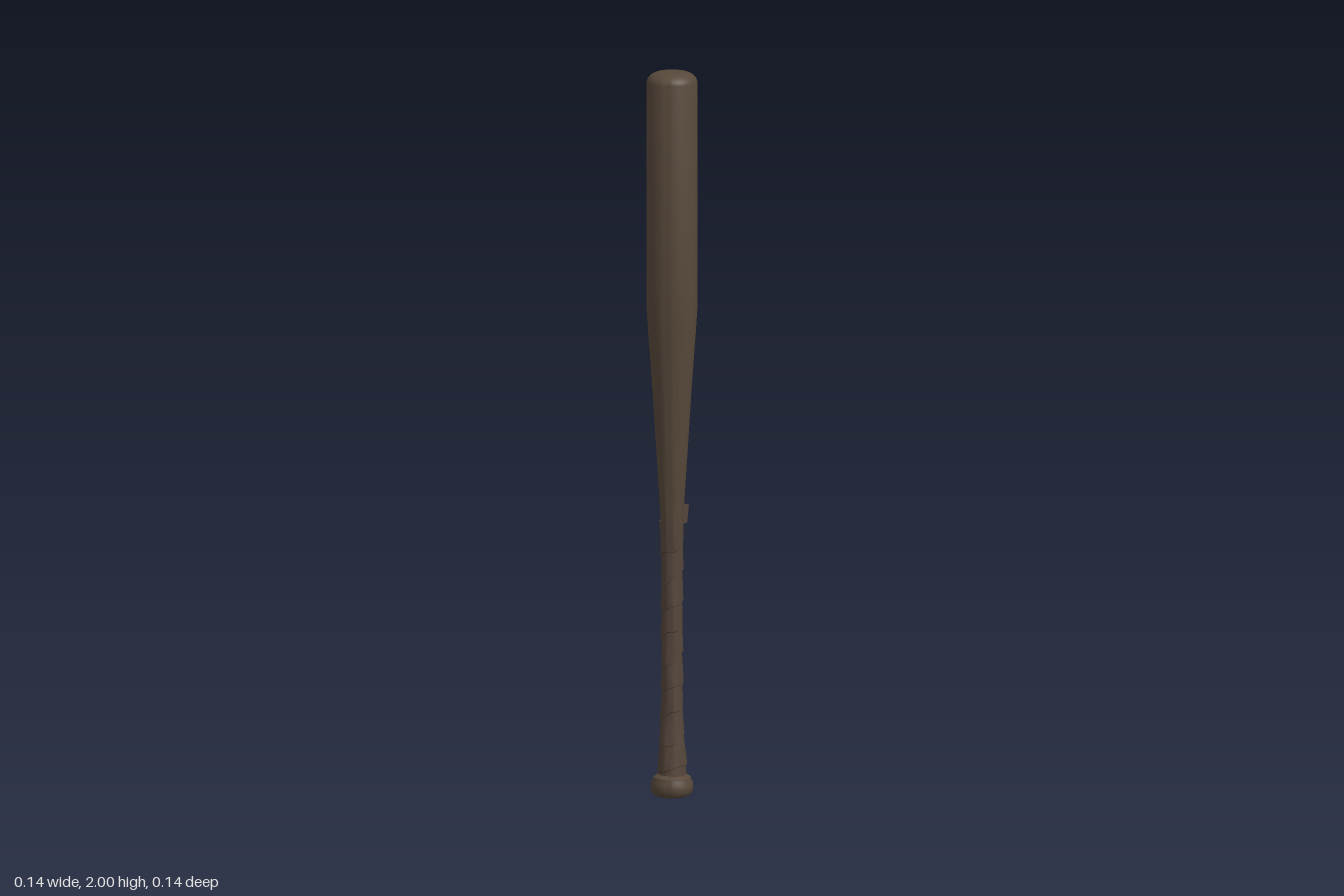
import * as THREE from 'three';
import { toCreasedNormals } from 'three/addons/utils/BufferGeometryUtils.js';

// Half profile of handle, taper, barrel and domed tip: [radius, height]
const BAT = [
  [0.036, 0.04], [0.036, 0.08], [0.033, 0.13], [0.028, 0.2], [0.026, 0.3], [0.026, 0.6],
  [0.027, 0.7], [0.034, 0.82], [0.043, 0.96], [0.053, 1.12], [0.064, 1.27], [0.0685, 1.34],
  [0.069, 1.4], [0.069, 1.972], [0.066, 1.982], [0.058, 1.991], [0.045, 1.997], [0.025, 1.9995], [0, 2],
];
const KNOB = [
  [0, 0.008], [0.03, 0.008], [0.036, 0.003], [0.042, 0], [0.05, 0.004], [0.056, 0.013],
  [0.0575, 0.024], [0.0565, 0.038], [0.052, 0.046], [0.051, 0.052], [0.044, 0.057], [0.036, 0.06],
];

function radiusAt(y) {
  for (let i = 1; i < BAT.length; i++) {
    const [r0, y0] = BAT[i - 1], [r1, y1] = BAT[i];
    if (y <= y1) return r0 + (r1 - r0) * Math.max(0, (y - y0) / (y1 - y0));
  }
  return 0;
}

function turned(name, profile, material) {
  const points = profile.map(([r, y]) => new THREE.Vector2(r, y));
  const geometry = toCreasedNormals(new THREE.LatheGeometry(points, 48), 0.6);
  const mesh = new THREE.Mesh(geometry, material);
  mesh.name = name;
  return mesh;
}

// Overlapping helical tape: each turn has a raised lower lip that tapers in at the top
function tapeGeometry(yStart, yEnd, pitch) {
  const perTurn = 28;
  const steps = Math.round(((yEnd - yStart) / pitch) * perTurn);
  const section = [[-0.04, 0], [0, 0.0042], [0.5, 0.0032], [1.12, 0.0008]];
  const positions = [], index = [];
  for (let i = 0; i <= steps; i++) {
    const a = (i / perTurn) * Math.PI * 2;
    const base = yStart + (i / perTurn) * pitch;
    const wobble = 0.006 * Math.sin(a * 1.37) + 0.004 * Math.sin(a * 2.71 + 1);
    for (const [v, lift] of section) {
      const y = THREE.MathUtils.clamp(base + wobble + v * pitch, 0.056, yEnd + 0.02);
      const r = radiusAt(y) + lift * (1 + 0.3 * Math.sin(a * 3.3 + v));
      positions.push(r * Math.sin(a), y, r * Math.cos(a));
    }
  }
  const n = section.length;
  for (let i = 0; i < steps; i++) {
    for (let j = 0; j < n - 1; j++) {
      const a = i * n + j, b = a + n;
      index.push(a, b, a + 1, b, b + 1, a + 1);
    }
  }
  const geometry = new THREE.BufferGeometry();
  geometry.setAttribute('position', new THREE.Float32BufferAttribute(positions, 3));
  geometry.setIndex(index);
  return toCreasedNormals(geometry, 0.6);
}

export function createModel() {
  const group = new THREE.Group();
  group.name = 'bat';
  const wood = new THREE.MeshStandardMaterial({ color: 0x57483a });
  wood.name = 'dark brown wood';
  const tape = new THREE.MeshStandardMaterial({ color: 0x54453a, side: THREE.DoubleSide });
  tape.name = 'dark brown tape';

  group.add(turned('barrelAndHandle', BAT, wood), turned('knob', KNOB, wood));

  const grip = new THREE.Mesh(tapeGeometry(0.0, 0.74, 0.075), tape);
  grip.name = 'gripTape';
  group.add(grip);

  // Loose tape end curling off the top of the grip
  const flap = new THREE.Mesh(new THREE.BoxGeometry(0.016, 0.05, 0.012), tape);
  flap.name = 'looseTapeEnd';
  flap.position.set(0.028, 0.775, -0.028);
  flap.rotation.set(0, Math.PI / 4, -0.12);
  group.add(flap);

  return group;
}
